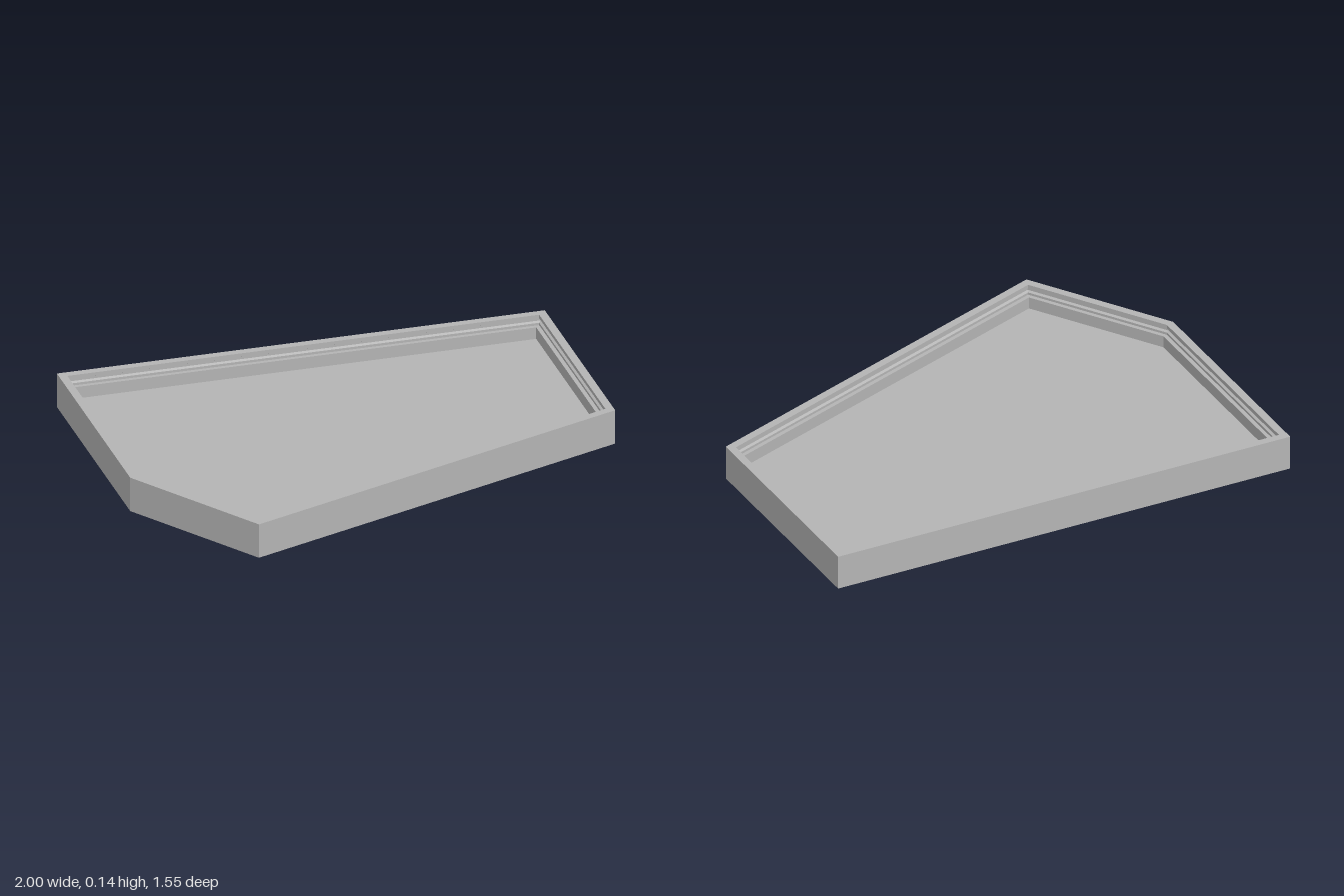
import * as THREE from 'three';

// Five-sided outline as [x, z]
const OUTLINE = [[-1, -0.775], [1, -0.775], [1, 0.18], [-0.64, 0.775], [-1, 0.22]]
  .map(([x, z]) => new THREE.Vector2(x, z));

// Outline moved inward by d with mitred corners, at height y
function ring(d, y) {
  const n = OUTLINE.length;
  const normal = (i) => {
    const e = OUTLINE[(i + 1) % n].clone().sub(OUTLINE[i % n]).normalize();
    return new THREE.Vector2(-e.y, e.x);
  };
  return OUTLINE.map((p, i) => {
    const a = normal(i + n - 1), b = normal(i);
    const k = d / (1 + a.dot(b));
    return new THREE.Vector3(p.x + (a.x + b.x) * k, y, p.y + (a.y + b.y) * k);
  });
}

function meshFrom(name, points, material) {
  const geometry = new THREE.BufferGeometry().setFromPoints(points);
  geometry.computeVertexNormals();
  const mesh = new THREE.Mesh(geometry, material);
  mesh.name = name;
  return mesh;
}

// Strip of flat faces through a profile of [inset, height] steps
function band(name, profile, material) {
  const points = [];
  for (let s = 0; s + 1 < profile.length; s++) {
    const a = ring(...profile[s]), b = ring(...profile[s + 1]);
    a.forEach((p, i) => {
      const j = (i + 1) % a.length;
      points.push(p, b[i], b[j], p, b[j], a[j]);
    });
  }
  return meshFrom(name, points, material);
}

// Flat convex panel
function panel(name, inset, y, up, material) {
  const r = ring(inset, y);
  if (up) r.reverse();
  const points = [];
  for (let i = 1; i + 1 < r.length; i++) points.push(r[0], r[i], r[i + 1]);
  return meshFrom(name, points, material);
}

export function createModel() {
  const grey = new THREE.MeshStandardMaterial({ color: 0xb4b4b4 });
  grey.name = 'plain grey';
  const tray = new THREE.Group();
  tray.name = 'tray';

  const H = 0.145, FLOOR = 0.05, LEDGE = 0.1;
  tray.add(
    panel('underside', 0, 0, false, grey),
    band('outerWall', [[0, 0], [0, H]], grey),
    band('rim', [[0, H], [0.033, H]], grey),
    // Upper inner wall with a shallow snap groove
    band('grooveWall', [[0.033, H], [0.033, 0.13], [0.023, 0.125],
      [0.023, 0.115], [0.033, 0.11], [0.033, LEDGE]], grey),
    band('ledge', [[0.033, LEDGE], [0.05, LEDGE]], grey),
    band('lowerInnerWall', [[0.05, LEDGE], [0.05, FLOOR]], grey),
    panel('floor', 0.05, FLOOR, true, grey),
  );
  return tray;
}
